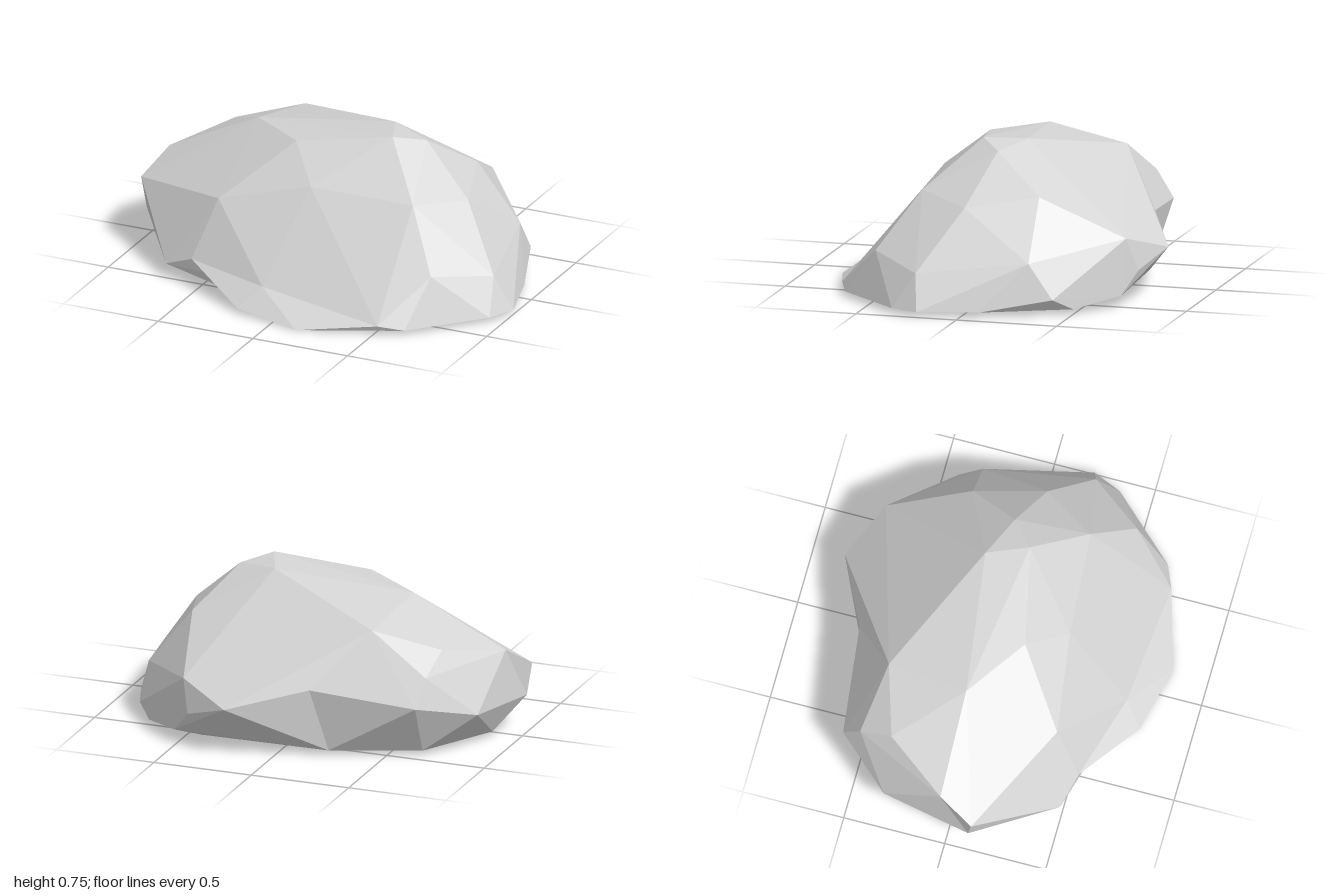
import * as THREE from 'three';
import { ConvexGeometry } from 'three/addons/geometries/ConvexGeometry.js';

export function createModel() {
  const group = new THREE.Group();
  group.name = 'boulder';
  const stone = new THREE.MeshStandardMaterial({ color: 0xd4d4d4 });
  stone.name = 'light grey stone';

  // Faceted hull: flat normals come from the unshared corners
  const addHull = (name, ...sets) => {
    const points = sets.flat().map((p) => new THREE.Vector3(...p));
    const mesh = new THREE.Mesh(new ConvexGeometry(points), stone);
    mesh.name = name;
    group.add(mesh);
  };

  // Crown and front slope
  const crown = [
    [0.3, 0.745, 0.07], [0.43, 0.71, -0.04], [0.22, 0.735, -0.13],
    [-0.16, 0.68, 0.17], [0, 0.54, 0.35], [0.52, 0.52, 0.31],
    [0.69, 0.48, 0.05], [0.58, 0.53, -0.29], [-0.46, 0.42, 0.41],
  ];
  // Front corner at -x
  const frontCorner = [[-0.7, 0.07, 0.49], [-1, 0.33, 0.13]];
  // Crease where the front slope meets the flatter lip
  const crease = [
    [-0.54, 0.14, 0.54], [-0.11, 0.12, 0.66], [0.52, 0.045, 0.71],
    [0.64, 0.025, 0.66], [-0.2, 0.025, 0.62],
  ];
  // Front lip
  const lip = [[0.14, 0, 0.82], [-0.2, 0.025, 0.75]];
  // Side at +x
  const side = [
    [0.7, 0.25, 0.49], [0.91, 0.195, 0.23], [1, 0.025, 0.2],
    [0.94, 0.025, 0.34], [0.92, 0.025, -0.09], [0.8, 0.25, -0.3],
    [0.8, 0.08, -0.42], [0.72, 0.025, -0.5],
  ];
  // Back spur
  const spur = [
    [0.21, 0.245, -0.825], [0.43, 0.17, -0.74], [0.47, 0.33, -0.69],
    [0.52, 0.06, -0.68], [0.41, 0.025, -0.61],
  ];
  // Corners shared by both sides of the valley in the back
  const seam = [
    [-0.4, 0.6, -0.44], [-0.16, 0.335, -0.65], [-0.24, 0.025, -0.6],
    [-0.72, 0.51, -0.34], [-0.93, 0.44, -0.04], [-0.46, 0.67, -0.04],
    [-0.87, 0.025, -0.06], [-0.98, 0.17, 0.11],
  ];
  // Back shoulder at -x
  const shoulder = [
    [-0.68, 0.284, -0.59], [-0.7, 0.415, -0.5],
    [-0.9, 0.2, -0.33], [-0.66, 0.025, -0.44],
  ];

  addHull('mainRock', crown, frontCorner, crease, side, spur, seam);
  addHull('frontLip', crease, lip);
  addHull('backShoulder', seam, shoulder);
  return group;
}
